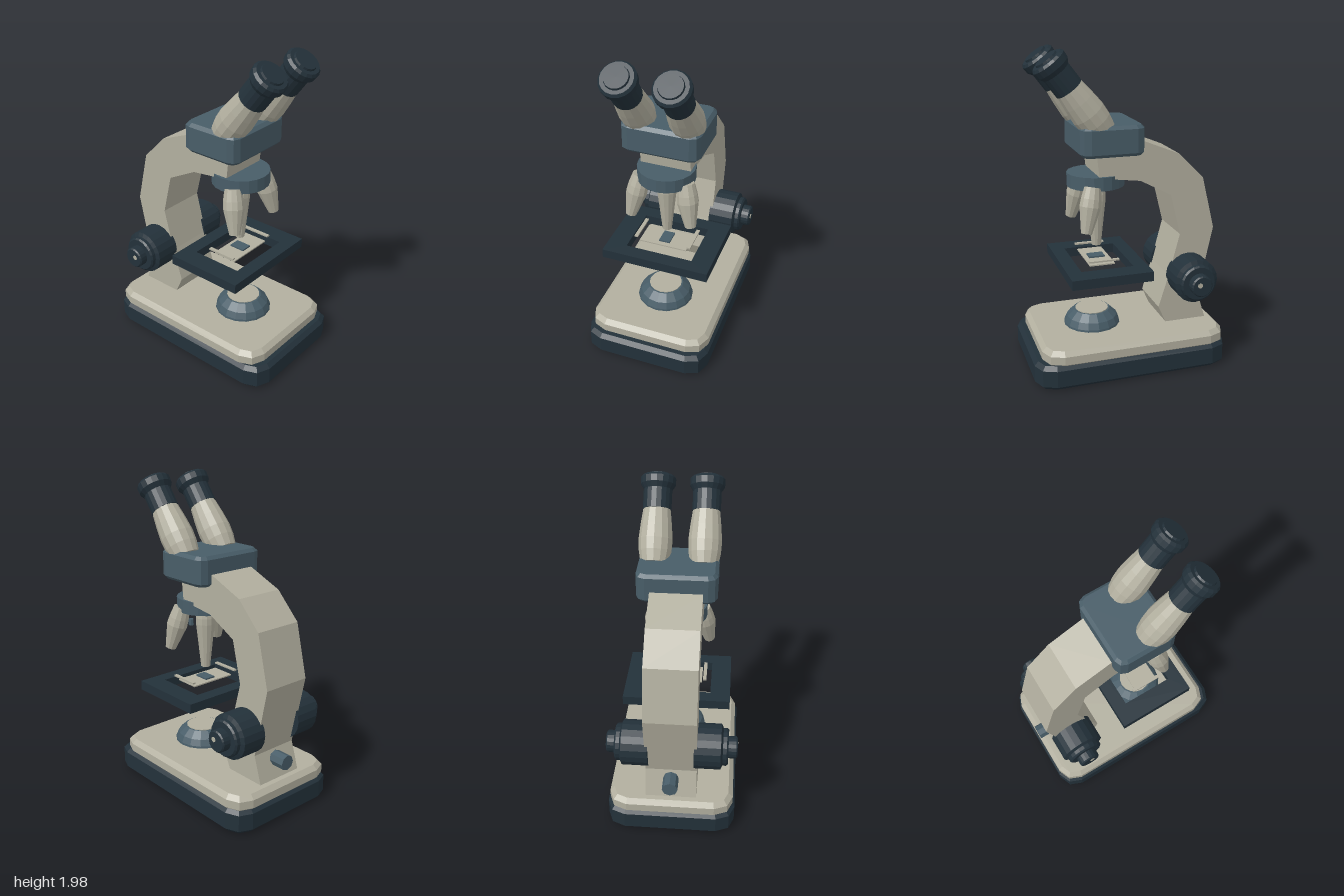
import * as THREE from 'three';

const mat = (name, color) => {
  const m = new THREE.MeshStandardMaterial({ color });
  m.name = name;
  return m;
};

export function createModel() {
  const cream = mat('cream enamel', 0xb2af9f);
  const slate = mat('slate metal', 0x485d68);
  const dark = mat('dark rubber', 0x23313a);
  const model = new THREE.Group();
  model.name = 'microscope';

  // Adds a faceted mesh
  function add(name, geometry, material, parent = model) {
    const g = geometry.index ? geometry.toNonIndexed() : geometry;
    g.computeVertexNormals();
    const mesh = new THREE.Mesh(g, material);
    mesh.name = name;
    parent.add(mesh);
    return mesh;
  }

  const v2 = (pts) => pts.map(([a, b]) => new THREE.Vector2(a, b));
  const lathe = (pts, sides = 16) => new THREE.LatheGeometry(v2(pts), sides);
  const box = (w, h, d, x, y, z) => new THREE.BoxGeometry(w, h, d).translate(x, y, z);

  // Flat slab with rounded corners and a bevelled top and bottom edge
  function slab(x, z0, z1, y0, y1, radius, bevel) {
    const X = x - bevel, A = -z1 + bevel, B = -z0 - bevel, r = radius - bevel;
    const s = new THREE.Shape();
    s.absarc(X - r, B - r, r, 0, Math.PI / 2);
    s.absarc(-X + r, B - r, r, Math.PI / 2, Math.PI);
    s.absarc(-X + r, A + r, r, Math.PI, Math.PI * 1.5);
    s.absarc(X - r, A + r, r, Math.PI * 1.5, Math.PI * 2);
    return new THREE.ExtrudeGeometry(s, {
      depth: y1 - y0 - 2 * bevel, curveSegments: 1,
      bevelSize: bevel, bevelThickness: bevel, bevelSegments: 1,
    }).rotateX(-Math.PI / 2).translate(0, y0 + bevel, 0);
  }

  // Base
  add('baseFoot', slab(0.4, -0.613, 0.617, 0, 0.155, 0.12, 0.025), dark);
  add('basePlate', slab(0.387, -0.603, 0.565, 0.13, 0.237, 0.12, 0.028), cream);

  // Curved arm, side profile as (z, y)
  const profile = [
    [-0.275, 0.225], [-0.22, 0.345], [-0.285, 0.555], [-0.355, 0.825], [-0.29, 1.085],
    [-0.09, 1.19], [0.065, 1.21], [0.165, 1.215], [0.185, 1.4], [-0.1, 1.437],
    [-0.34, 1.34], [-0.5, 1.178], [-0.58, 0.85], [-0.487, 0.41], [-0.545, 0.225],
  ];
  add('arm', new THREE.ExtrudeGeometry(new THREE.Shape(v2(profile)), { depth: 0.316, bevelEnabled: false })
    .translate(0, 0, -0.158).rotateY(-Math.PI / 2), cream);

  // Head
  add('head', slab(0.242, -0.102, 0.29, 1.362, 1.545, 0.06, 0.02), slate);

  // Nosepiece and its three objectives
  add('nosepiece', new THREE.CylinderGeometry(0.178, 0.178, 0.083, 20).translate(0, 1.19, 0.147), slate);
  add('mainObjective', lathe([[0, 0.76], [0.03, 0.76], [0.05, 0.95], [0.061, 1.05], [0.061, 1.09],
    [0.05, 1.16], [0, 1.16]], 12).translate(0, 0, 0.145), cream);
  for (const side of [-1, 1]) {
    const g = new THREE.Group();
    g.name = 'sideObjective';
    g.position.set(side * 0.143, 1.16, 0.205);
    const dir = new THREE.Vector3(side * -0.05, 0.26, -0.055).normalize();
    g.quaternion.setFromUnitVectors(new THREE.Vector3(0, 1, 0), dir);
    add('sideObjectiveBarrel', lathe([[0, -0.27], [0.034, -0.27], [0.052, -0.18], [0.066, -0.11],
      [0.063, -0.06], [0.052, 0.01], [0, 0.01]], 12), cream, g);
    model.add(g);
    add('objectiveScrew', new THREE.CylinderGeometry(0.016, 0.016, 0.04, 8)
      .translate(side * 0.092, 1.07, 0.175), slate);
  }

  // Stage frame with an opening, as (x, -z)
  const rect = (Type, x, z0, z1) => new Type(v2([[-x, -z1], [x, -z1], [x, -z0], [-x, -z0]]));
  const frame = rect(THREE.Shape, 0.342, -0.118, 0.388);
  frame.holes.push(rect(THREE.Path, 0.215, -0.03, 0.3));
  add('stage', new THREE.ExtrudeGeometry(frame, { depth: 0.06, bevelEnabled: false })
    .rotateX(-Math.PI / 2).translate(0, 0.61, 0), dark);

  // Slide, specimen cover and clips
  add('slide', box(0.31, 0.008, 0.16, 0, 0.677, 0.15), cream);
  add('specimen', box(0.07, 0.01, 0.1, 0, 0.686, 0.15), slate);
  for (const side of [-1, 1]) {
    add('stageClip', box(0.022, 0.01, 0.19, side * 0.174, 0.71, 0.145), cream);
  }

  // Focus knobs, stepped outward along x
  for (const side of [-1, 1]) {
    const g = new THREE.Group();
    g.name = 'focusKnob';
    g.position.set(0, 0.555, -0.414);
    add('focusKnobBody', lathe([[0, 0.14], [0.14, 0.14], [0.14, 0.3], [0.115, 0.312], [0.115, 0.335],
      [0.105, 0.345], [0.068, 0.345], [0.068, 0.392], [0.06, 0.4], [0, 0.4]], 20)
      .rotateZ(-side * Math.PI / 2), dark, g);
    add('knobMark', new THREE.CylinderGeometry(0.016, 0.016, 0.006, 10).rotateZ(Math.PI / 2)
      .translate(side * 0.4, 0.01, 0.016), cream, g);
    model.add(g);
  }

  // Rear dial
  add('rearDial', new THREE.CylinderGeometry(0.048, 0.048, 0.105, 8).rotateX(Math.PI / 2)
    .translate(0, 0.355, -0.552), slate);

  // Lamp housing and lens
  add('lampHousing', lathe([[0.18, 0.23], [0.177, 0.25], [0.16, 0.29], [0.115, 0.332], [0, 0.332]])
    .translate(0, 0, 0.18), slate);
  add('lampLens', new THREE.CylinderGeometry(0.105, 0.105, 0.006, 16).translate(0, 0.334, 0.18), cream);

  // Eyepieces, measured down the axis from the eye end
  for (const side of [-1, 1]) {
    const g = new THREE.Group();
    g.name = 'eyepiece';
    g.position.set(side * 0.15, 1.925, 0.465);
    g.rotation.x = 0.65;
    add('eyepieceTube', lathe([[0, -0.53], [0.086, -0.53], [0.1, -0.46], [0.104, -0.39],
      [0.096, -0.3], [0.082, -0.19], [0, -0.19]], 14), cream, g);
    add('eyeCup', lathe([[0, -0.207], [0.087, -0.207], [0.087, -0.085], [0.106, -0.055],
      [0.108, -0.015], [0.095, 0], [0.072, 0], [0.068, 0.012], [0, 0.012]], 18), dark, g);
    model.add(g);
  }

  return model;
}
